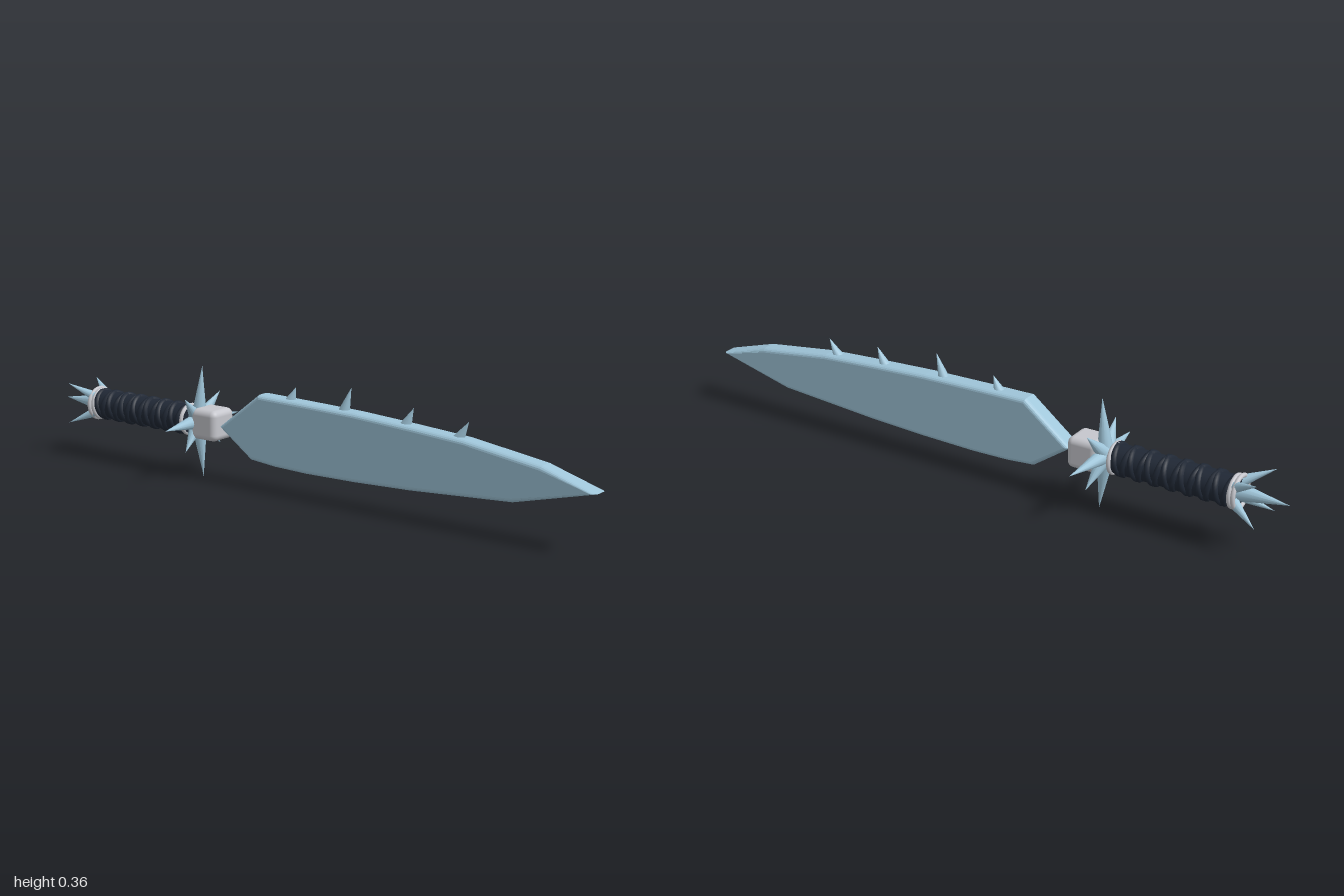
import * as THREE from 'three';
import { RoundedBoxGeometry } from 'three/addons/geometries/RoundedBoxGeometry.js';

const AXIS = 0.18; // height of the handle's centre line

export function createModel() {
  const group = new THREE.Group();
  const mat = (name, color) => Object.assign(new THREE.MeshStandardMaterial({ color }), { name });
  const ice = mat('iceBlue', 0x9fc5d9);
  const metal = mat('paleMetal', 0xc6c7cd);
  const wrap = mat('darkWrap', 0x202835);

  const add = (name, geometry, material, x = 0, y = 0, z = 0) => {
    const mesh = new THREE.Mesh(geometry, material);
    mesh.name = name;
    mesh.position.set(x, y, z);
    group.add(mesh);
    return mesh;
  };

  // A cone running from the base point to the tip point
  const spike = (name, base, tip, radius) => {
    const a = new THREE.Vector3(...base);
    const dir = new THREE.Vector3(...tip).sub(a);
    const length = dir.length();
    const geometry = new THREE.ConeGeometry(radius, length, 12);
    geometry.translate(0, length / 2, 0);
    const mesh = add(name, geometry, ice, ...base);
    mesh.quaternion.setFromUnitVectors(new THREE.Vector3(0, 1, 0), dir.normalize());
  };

  // Blade with rounded rims
  const outline = [
    [-0.315, 0.18], [-0.19, 0.092], [-0.1, 0.084], [0.02, 0.081], [0.2, 0.084], [0.4, 0.092],
    [0.74, 0.115], [1, 0.182], [0.83, 0.235], [0.58, 0.27], [0.4, 0.282], [0.2, 0.293],
    [0, 0.298], [-0.16, 0.301],
  ].map(([x, y]) => new THREE.Vector2(x, y));
  const blade = new THREE.ExtrudeGeometry(new THREE.Shape(outline), {
    depth: 0.03, bevelThickness: 0.016, bevelSize: 0.013, bevelOffset: -0.013, bevelSegments: 4,
  });
  blade.translate(0, 0, -0.015);
  add('blade', blade, ice);

  // Thorns leaning forward along the blade's back
  [[-0.055, 0.29, -0.033, 0.338], [0.145, 0.285, 0.172, 0.363],
    [0.365, 0.275, 0.393, 0.332], [0.545, 0.262, 0.58, 0.318]].forEach(([x, y, tx, ty]) =>
    spike('bladeThorn', [x, y, 0], [tx, ty, 0], 0.018));

  // Guard block and hub
  add('guardBlock', new RoundedBoxGeometry(0.1, 0.098, 0.1, 4, 0.02), metal, -0.365, AXIS, 0);
  add('guardHub', new THREE.SphereGeometry(0.036, 20, 14), ice, -0.42, AXIS, 0);

  // Star of guard spikes, alternating long and short
  for (let i = 0; i < 8; i++) {
    const a = (i * Math.PI) / 4;
    const r = i % 2 ? 0.12 : 0.178;
    const c = Math.cos(a), s = Math.sin(a);
    spike('guardSpike', [-0.419, AXIS + s * 0.02, c * 0.02],
      [-0.404, AXIS + s * r, c * r], 0.024);
  }

  // Handle core with crossed wrapping
  const core = new THREE.CylinderGeometry(0.045, 0.045, 0.4, 28);
  core.rotateZ(Math.PI / 2);
  add('handleCore', core, wrap, -0.648, AXIS, 0);
  for (const turn of [1, -1]) {
    const points = [];
    for (let i = 0; i <= 112; i++) {
      const a = (turn * i * Math.PI) / 8;
      points.push(new THREE.Vector3(-0.835 + (0.375 * i) / 112,
        AXIS + 0.042 * Math.cos(a), 0.042 * Math.sin(a)));
    }
    add('handleWrap', new THREE.TubeGeometry(new THREE.CatmullRomCurve3(points), 224, 0.01, 8), wrap);
  }

  // Metal rings at both handle ends
  for (const [x, r] of [[-0.455, 0.045], [-0.836, 0.046], [-0.85, 0.049]]) {
    const ring = new THREE.TorusGeometry(r, 0.007, 10, 32);
    ring.rotateY(Math.PI / 2);
    add('handleRing', ring, metal, x, AXIS, 0);
  }

  // Pommel spikes: one long, four splayed
  spike('pommelSpike', [-0.845, AXIS, 0], [-1, AXIS, 0], 0.027);
  for (const sy of [1, -1]) {
    for (const sz of [1, -1]) {
      spike('pommelSideSpike', [-0.838, AXIS + sy * 0.022, sz * 0.022],
        [-0.928, AXIS + sy * 0.066, sz * 0.066], 0.018);
    }
  }

  return group;
}
